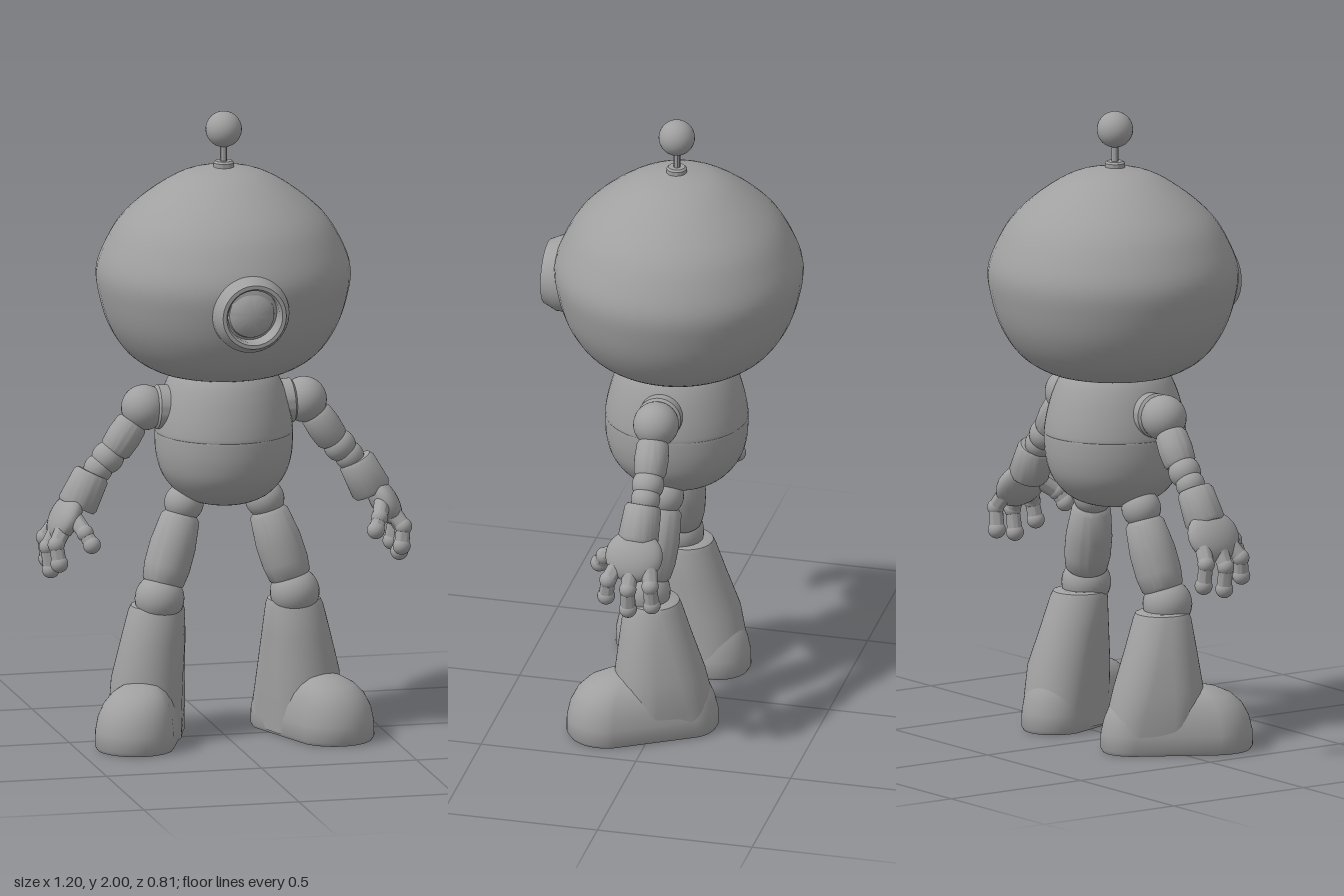
import * as THREE from 'three';
import { toCreasedNormals } from 'three/addons/utils/BufferGeometryUtils.js';

const V = (x, y, z) => new THREE.Vector3(x, y, z);

export function createModel() {
  const robot = new THREE.Group();
  robot.name = 'robot';
  const grey = new THREE.MeshStandardMaterial({ color: 0xa0a0a0 });
  grey.name = 'grey';

  function add(name, geometry, parent = robot) {
    const mesh = new THREE.Mesh(geometry, grey);
    mesh.name = name;
    parent.add(mesh);
    return mesh;
  }

  function ball(name, p, r, parent) {
    const m = add(name, new THREE.SphereGeometry(r, 28, 20), parent);
    m.position.copy(p);
    return m;
  }

  // Turned shape from [radius, height] pairs, optionally smoothed
  function turned(pairs, smooth = 0, crease = 0.6) {
    let pts = pairs.map(([r, y]) => new THREE.Vector2(r, y));
    if (smooth) {
      pts = new THREE.SplineCurve(pts).getPoints(smooth);
      pts.forEach(p => { p.x = Math.max(p.x, 0); });
    }
    return toCreasedNormals(new THREE.LatheGeometry(pts, 48), crease);
  }

  // Limb segment from a to b; profile holds [radius, fraction of the length]
  function limb(name, a, b, profile, parent) {
    const d = b.clone().sub(a), len = d.length();
    const m = add(name, turned(profile.map(([r, t]) => [r, t * len])), parent);
    m.position.copy(a);
    m.quaternion.setFromUnitVectors(V(0, 1, 0), d.normalize());
    return m;
  }

  // Stacked outlines; each is [y, heel x, heel z, heel r, toe x, toe z, toe r]
  function bootShell(rows, s) {
    const N = 48, pos = [], idx = [], turn = 0.44;
    for (const [y, hx, hz, hr, tx, tz, tr] of rows) {
      for (let i = 0; i < N; i++) {
        const t = (i / N) * Math.PI * 2 * s;
        const c = Math.cos(t), n = Math.sin(t);
        const front = c * Math.sin(turn) * s + n * Math.cos(turn);
        // c already follows the mirrored direction through s
        const f = s > 0 ? front : -c * Math.sin(turn) * -1 + n * Math.cos(turn);
        const [x, z, r] = f > 0 ? [tx, tz, tr] : [hx, hz, hr];
        pos.push(s * (x + r * c), y, z + r * n);
      }
    }
    for (let j = 0; j < rows.length - 1; j++) {
      for (let i = 0; i < N; i++) {
        const a = j * N + i, b = j * N + (i + 1) % N;
        idx.push(a, a + N, b, b, a + N, b + N);
      }
    }
    // Close the bottom and the top
    const last = (rows.length - 1) * N;
    for (let i = 1; i < N - 1; i++) {
      idx.push(0, i, i + 1, last, last + i + 1, last + i);
    }
    const g = new THREE.BufferGeometry();
    g.setAttribute('position', new THREE.Float32BufferAttribute(pos, 3));
    g.setIndex(idx);
    return toCreasedNormals(g, 0.7);
  }

  // Head
  const head = add('head', turned([
    [0, 1.16], [0.14, 1.163], [0.22, 1.18], [0.3, 1.232], [0.358, 1.315], [0.39, 1.41],
    [0.4, 1.5], [0.367, 1.59], [0.314, 1.67], [0.22, 1.75], [0.12, 1.805], [0, 1.828],
  ], 50, 1));
  head.scale.z = 0.975;
  head.position.z = -0.015;

  // Antenna
  add('antennaBase', turned([[0, 1.81], [0.032, 1.81], [0.032, 1.836], [0.026, 1.842], [0, 1.842]]));
  add('antennaStem', turned([[0.011, 1.82], [0.011, 1.91]]));
  ball('antennaBall', V(0, 1.943, 0), 0.057);
  for (const n of ['antennaBase', 'antennaStem', 'antennaBall']) {
    robot.getObjectByName(n).position.z = -0.008;
  }

  // Single eye: sloped rim with a domed lens set inside
  const eye = new THREE.Group();
  eye.name = 'eye';
  eye.position.y = 1.427;
  robot.add(eye);
  add('eyeRim', turned([
    [0.122, 0.28], [0.122, 0.365], [0.102, 0.408], [0.09, 0.408], [0.083, 0.395], [0.083, 0.33],
  ]).rotateX(Math.PI / 2), eye);
  add('eyeLens', turned([
    [0.083, 0.352], [0.075, 0.358], [0.072, 0.37], [0.055, 0.382], [0.03, 0.389], [0, 0.392],
  ]).rotateX(Math.PI / 2), eye);

  // Torso halves divided by a narrow groove
  const torso = new THREE.Group();
  torso.name = 'torso';
  torso.scale.z = 1.04;
  torso.position.z = -0.008;
  robot.add(torso);
  add('lowerTorso', turned([
    [0, 0.745], [0.08, 0.752], [0.145, 0.782], [0.193, 0.84], [0.213, 0.905], [0.217, 0.976], [0.211, 0.979],
  ], 36, 0.9), torso);
  add('upperTorso', turned([
    [0.211, 0.979], [0.217, 0.983], [0.209, 1.04], [0.19, 1.11], [0.163, 1.165], [0.12, 1.2], [0, 1.21],
  ], 30, 0.9), torso);

  for (const s of [1, -1]) {
    const side = s > 0 ? 'left' : 'right';
    const P = (x, y, z) => V(s * x, y, z);

    // Arm
    const arm = new THREE.Group();
    arm.name = side + 'Arm';
    robot.add(arm);
    limb('shoulderSocket', P(0.17, 1.06, -0.005), P(0.225, 1.063, -0.005),
      [[0.07, 0], [0.07, 0.85], [0.06, 1], [0, 1]], arm);
    ball('shoulder', P(0.258, 1.063, -0.005), 0.072, arm);
    limb('upperArm', P(0.292, 1.02, -0.005), P(0.354, 0.926, -0.008),
      [[0, 0], [0.044, 0], [0.051, 0.1], [0.054, 0.5], [0.051, 0.9], [0.044, 1], [0, 1]], arm);
    ball('elbow', P(0.374, 0.908, -0.008), 0.051, arm);
    ball('elbowLower', P(0.405, 0.873, -0.008), 0.046, arm);
    limb('forearm', P(0.424, 0.862, -0.006), P(0.477, 0.757, 0),
      [[0, 0], [0.05, 0], [0.058, 0.1], [0.064, 0.9], [0.058, 1], [0, 1]], arm);

    // Hand: flat palm, three curled fingers and a thumb
    const palm = ball('palm', P(0.515, 0.725, 0.002), 1, arm);
    palm.scale.set(0.042, 0.083, 0.092);
    palm.rotation.z = s * 0.5;
    const fingers = [
      [P(0.53, 0.7, 0.05), P(0.56, 0.655, 0.075), P(0.552, 0.595, 0.083)],
      [P(0.54, 0.69, 0.005), P(0.572, 0.635, 0.008), P(0.562, 0.562, 0.01)],
      [P(0.53, 0.7, -0.05), P(0.565, 0.65, -0.062), P(0.555, 0.58, -0.065)],
      [P(0.495, 0.73, 0.06), P(0.475, 0.695, 0.108), P(0.458, 0.66, 0.128)],
    ];
    fingers.forEach(([a, b, c], i) => {
      const name = i < 3 ? 'finger' + (i + 1) : 'thumb';
      limb(name + 'Base', a, b, [[0.026, 0], [0.024, 1]], arm);
      ball(name + 'Joint', b, 0.027, arm);
      limb(name + 'End', b, c, [[0.022, 0], [0.024, 1]], arm);
      ball(name + 'Tip', c, 0.028, arm);
    });

    // Leg
    const leg = new THREE.Group();
    leg.name = side + 'Leg';
    robot.add(leg);
    ball('hip', P(0.13, 0.752, 0), 0.062, leg);
    limb('thigh', P(0.139, 0.718, 0.002), P(0.208, 0.497, 0.03),
      [[0, 0], [0.05, 0], [0.062, 0.06], [0.073, 0.45], [0.073, 0.75], [0.066, 0.95], [0.056, 1], [0, 1]], leg);
    ball('knee', P(0.218, 0.457, 0.038), 0.078, leg);

    // Boot: tapering shaft over a rounded foot turned outwards
    add('bootShaft', bootShell([
      [0.01, 0.212, -0.09, 0.1, 0.25, 0.01, 0.11],
      [0.1, 0.22, -0.07, 0.107, 0.255, 0.01, 0.117],
      [0.2, 0.23, -0.045, 0.11, 0.25, 0.012, 0.115],
      [0.32, 0.226, -0.01, 0.1, 0.236, 0.015, 0.1],
      [0.415, 0.222, 0.013, 0.09, 0.224, 0.017, 0.088],
      [0.432, 0.221, 0.014, 0.083, 0.222, 0.017, 0.081],
      [0.437, 0.22, 0.015, 0.072, 0.22, 0.017, 0.07],
    ], s), leg);
    add('bootFoot', bootShell([
      [0, 0.212, -0.09, 0.096, 0.32, 0.138, 0.119],
      [0.012, 0.212, -0.09, 0.103, 0.32, 0.138, 0.127],
      [0.06, 0.212, -0.09, 0.102, 0.32, 0.138, 0.126],
      [0.105, 0.214, -0.086, 0.096, 0.318, 0.135, 0.119],
      [0.145, 0.216, -0.08, 0.085, 0.313, 0.13, 0.104],
      [0.175, 0.22, -0.07, 0.065, 0.305, 0.12, 0.083],
      [0.195, 0.225, -0.05, 0.04, 0.295, 0.105, 0.055],
      [0.206, 0.23, -0.03, 0.015, 0.285, 0.09, 0.02],
    ], s), leg);
  }
  return robot;
}
